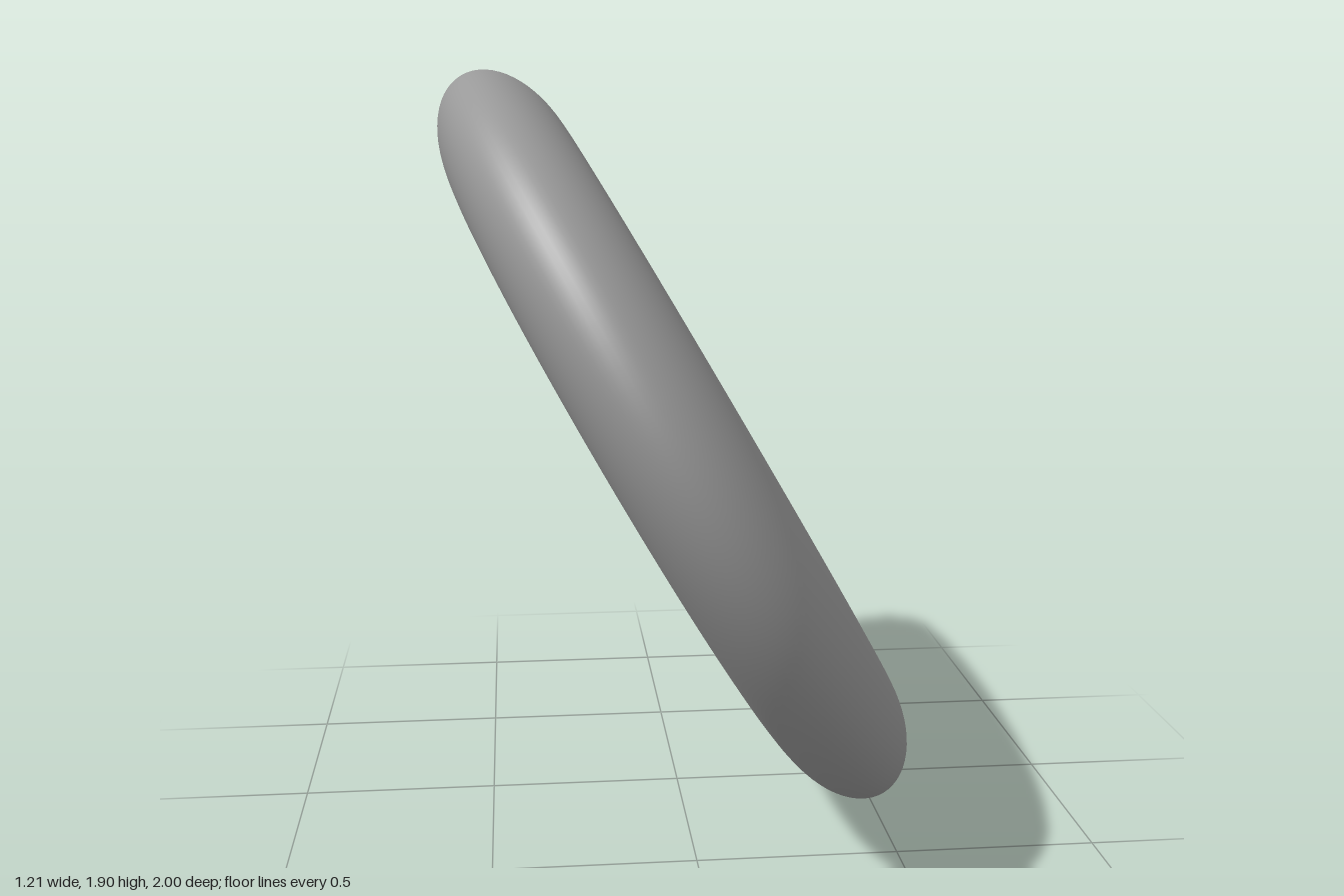
import * as THREE from 'three';

const deg = THREE.MathUtils.degToRad;

export function createModel() {
  const group = new THREE.Group();
  group.name = 'openRing';

  // Channel section: half an ellipse bulging outwards, open towards the ring's centre
  const innerRadius = 0.836, depth = 0.247, halfWidth = 0.16;
  const profile = [];
  for (let i = 0; i <= 32; i++) {
    const a = -Math.PI / 2 + (Math.PI * i) / 32;
    profile.push(new THREE.Vector2(innerRadius + depth * Math.cos(a), halfWidth * Math.sin(a)));
  }

  // Three quarters of a ring, with the gap at the back
  const start = deg(-124.2), end = deg(147.7);
  const ring = new THREE.Mesh(
    new THREE.LatheGeometry(profile, 96, start, end - start),
    new THREE.MeshStandardMaterial({ color: 0x999999, side: THREE.DoubleSide })
  );
  ring.name = 'ringChannel';

  // Lean the ring so that its top tilts to the right
  ring.rotation.z = deg(-60);
  ring.position.set(0, 0.956, -0.083);
  group.add(ring);

  return group;
}
